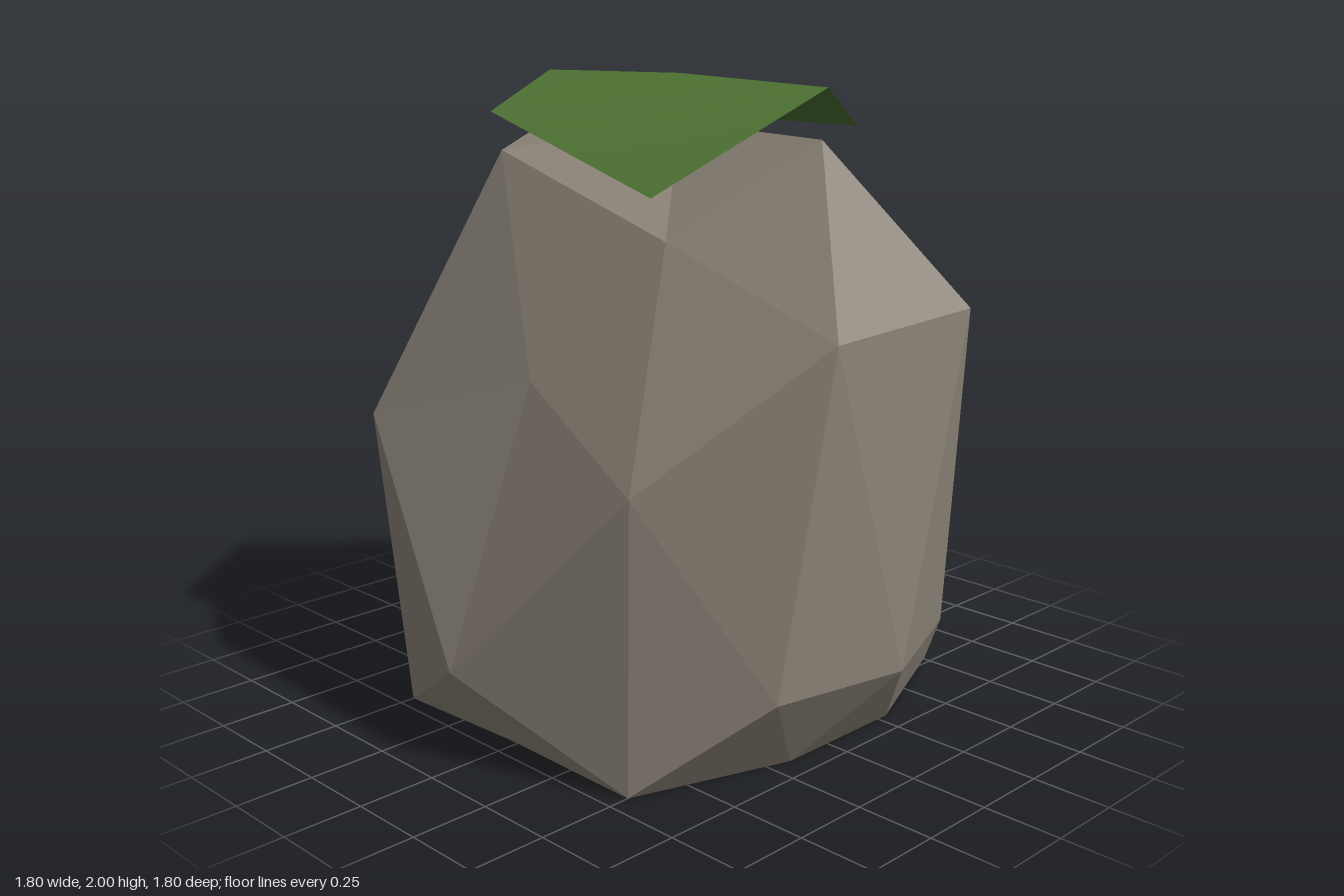
import * as THREE from 'three';

// Boulder corners by latitude of the base sphere; each row runs
// left, back, right, front and leaves out the corners that row lacks.
const LEVELS = {
  100: [[0.06, 1.85, -0.03]],
  85: [[0.06, 1.85, -0.6], [0.06, 1.83, 0.55]],
  81: [[-0.39, 1.77, -0.36], [0.48, 1.7, -0.33], [0.48, 1.7, 0.28], [-0.3, 1.54, 0.27]],
  53: [[-0.57, 1.12, -0.03], [0.85, 1.34, -0.02]],
  50: [[-0.22, 1.29, -0.89], [0.34, 1.27, -0.87], [0.36, 1.34, 0.88], [-0.22, 1.31, 0.86]],
  31: [[-0.74, 0.95, -0.6], [0.75, 0.87, -0.52], [0.71, 0.82, 0.45], [-0.65, 0.88, 0.48]],
  0: [[-0.9, 0.29, -0.03], [-0.4, 0.29, -0.9], [0.06, 0.29, -0.87], [0.5, 0.29, -0.85],
    [0.9, 0.29, -0.02], [0.48, 0.29, 0.73], [0.06, 0.29, 0.9], [-0.39, 0.29, 0.81]],
  '-31': [[-0.7, 0, -0.5], [0.76, 0, -0.49], [0.76, 0, 0.47], [-0.68, 0, 0.5]],
  '-50': [[-0.17, 0, -0.86], [0.29, 0, -0.82], [0.29, 0, 0.67], [-0.17, 0, 0.67]],
};

// Faceted sphere whose corners move to the boulder's, with a flat underside
function boulderGeometry() {
  const geometry = new THREE.IcosahedronGeometry(1, 1);
  geometry.rotateY(Math.PI / 2);
  const pos = geometry.attributes.position;
  const level = (i) => Math.round(pos.getY(i) * 100);
  const angle = (i) => Math.round(Math.atan2(pos.getZ(i) - 0.01, pos.getX(i)) * 100);

  const angles = {};
  for (let i = 0; i < pos.count; i++) (angles[level(i)] ??= new Set()).add(angle(i));
  for (const key in angles) angles[key] = [...angles[key]].sort((a, b) => a - b);

  const moved = [];
  for (let i = 0; i < pos.count; i++) {
    const row = LEVELS[level(i)];
    moved.push(row && row.length === 1 ? row[0]
      : row ? row[angles[level(i)].indexOf(angle(i))]
        : [0.04 + 0.84 * pos.getX(i), 0, -0.03 + 0.8 * pos.getZ(i)]);
  }
  moved.forEach((p, i) => pos.setXYZ(i, ...p));
  geometry.computeVertexNormals();
  return geometry;
}

// Thin six-sided sheet fanned around its centre
function mossGeometry() {
  const points = [
    [0.06, 2, -0.04],
    [0.06, 1.98, 0.57], [0.525, 1.83, 0.3], [0.525, 1.83, -0.35],
    [0.06, 1.99, -0.65], [-0.43, 1.89, -0.36], [-0.35, 1.67, 0.26],
  ];
  const index = [];
  for (let i = 0; i < 6; i++) index.push(0, 1 + i, 1 + ((i + 1) % 6));
  const geometry = new THREE.BufferGeometry();
  geometry.setAttribute('position', new THREE.Float32BufferAttribute(points.flat(), 3));
  geometry.setIndex(index);
  geometry.computeVertexNormals();
  return geometry;
}

export function createModel() {
  const group = new THREE.Group();
  group.name = 'mossyBoulder';

  const boulder = new THREE.Mesh(
    boulderGeometry(),
    new THREE.MeshStandardMaterial({ color: 0x8a8276, flatShading: true }),
  );
  boulder.name = 'boulder';

  const moss = new THREE.Mesh(
    mossGeometry(),
    new THREE.MeshStandardMaterial({ color: 0x4c7031, side: THREE.DoubleSide }),
  );
  moss.name = 'mossCap';

  group.add(boulder, moss);
  return group;
}
